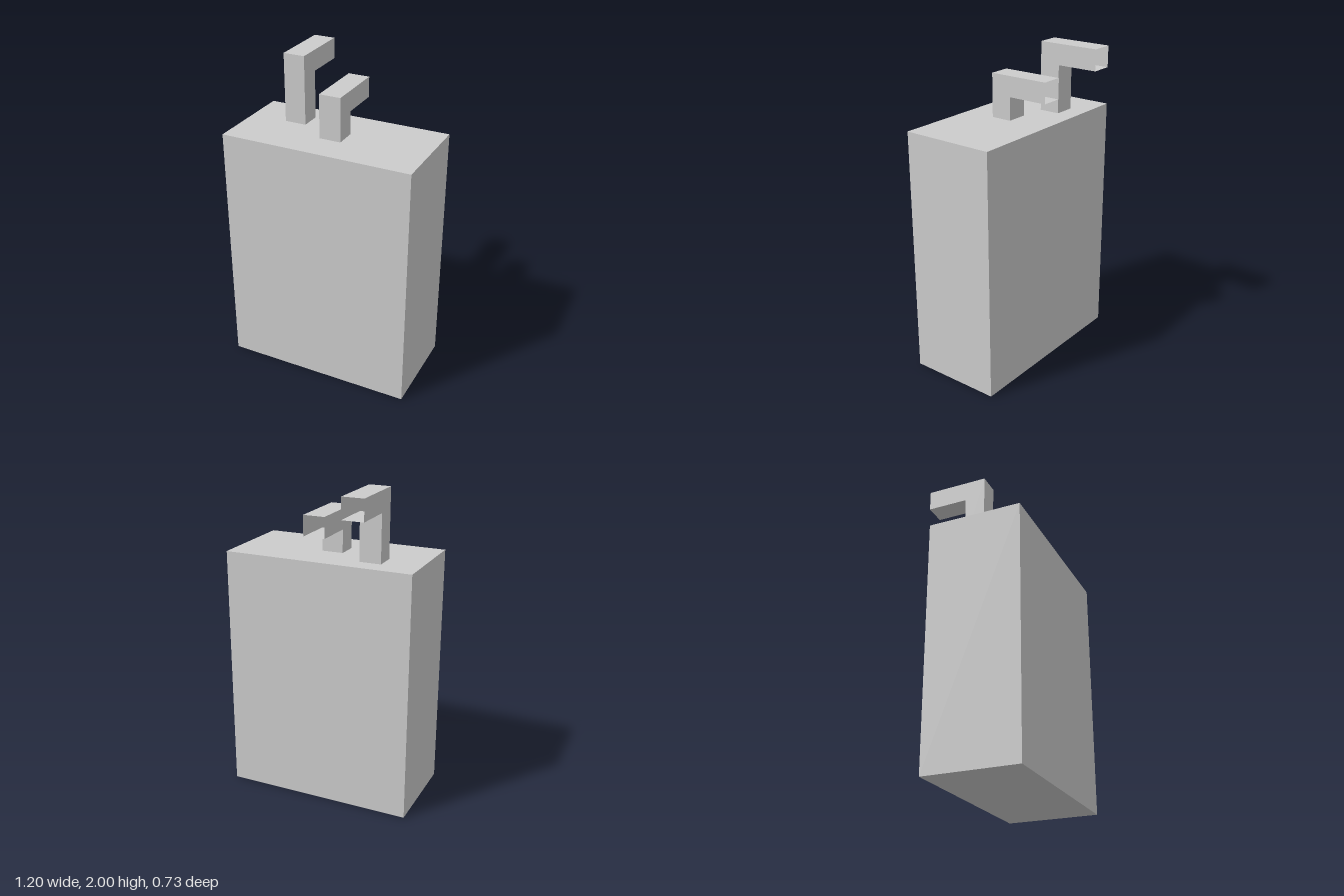
import * as THREE from 'three';

const bodyTop = 1.57;

// Square duct: rises from the body, turns at a mitre and runs backwards to an open end
function createDuct({ x, front, back, under, top, end }, width, material) {
  // Each section is its outer [y, z] edge followed by its inner [y, z] edge
  const sections = [
    [[bodyTop, front], [bodyTop, back]],
    [[top, front], [under, back]],
    [[top, end], [under, end]],
  ];
  const rings = sections.map(([outer, inner]) => [
    [x - width / 2, ...outer],
    [x + width / 2, ...outer],
    [x + width / 2, ...inner],
    [x - width / 2, ...inner],
  ]);
  const positions = [];
  for (let s = 0; s < rings.length - 1; s++) {
    for (let i = 0; i < 4; i++) {
      const j = (i + 1) % 4;
      const [a, b, c, d] = [rings[s][i], rings[s][j], rings[s + 1][j], rings[s + 1][i]];
      positions.push(...a, ...b, ...c, ...a, ...c, ...d);
    }
  }
  const geometry = new THREE.BufferGeometry();
  geometry.setAttribute('position', new THREE.Float32BufferAttribute(positions, 3));
  geometry.computeVertexNormals();
  return new THREE.Mesh(geometry, material);
}

export function createModel() {
  const group = new THREE.Group();
  const solid = new THREE.MeshStandardMaterial({ color: 0xcccccc, flatShading: true });
  const open = new THREE.MeshStandardMaterial({
    color: 0xcccccc, flatShading: true, side: THREE.DoubleSide,
  });

  // Main block
  const body = new THREE.Mesh(new THREE.BoxGeometry(1.2, bodyTop, 0.594), solid);
  body.name = 'body';
  body.position.set(0, bodyTop / 2, 0.07);
  group.add(body);

  // Two open ducts on the roof
  const ducts = [
    { name: 'tallDuct', x: -0.297, front: 0.025, back: -0.107, under: 1.87, top: 2, end: -0.367 },
    { name: 'shortDuct', x: 0.007, front: 0.163, back: 0.03, under: 1.715, top: 1.843, end: -0.226 },
  ];
  for (const duct of ducts) {
    const mesh = createDuct(duct, 0.136, open);
    mesh.name = duct.name;
    group.add(mesh);
  }
  return group;
}
